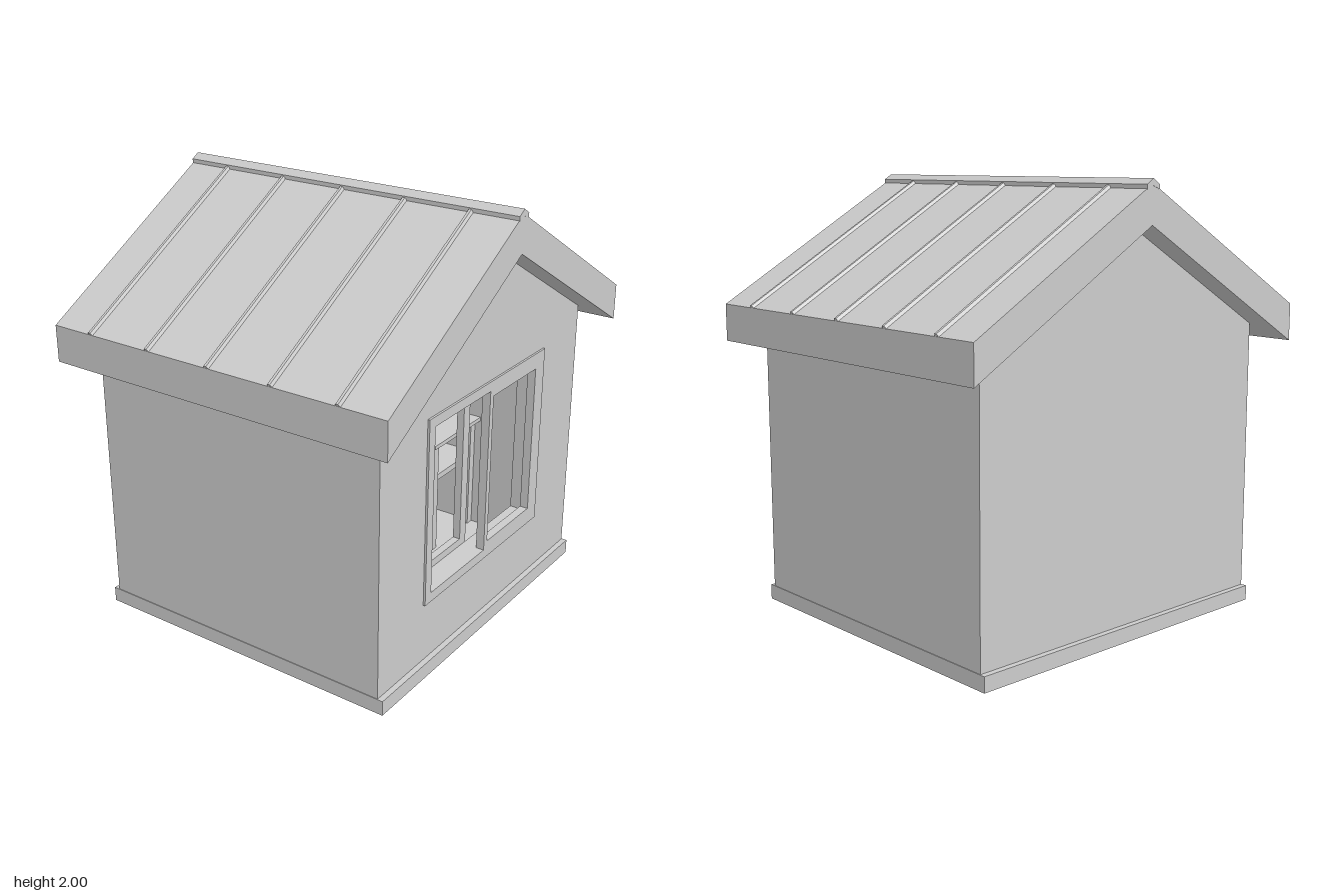
import * as THREE from 'three';

export function createModel() {
  const house = new THREE.Group();
  const paint = new THREE.MeshStandardMaterial({ color: 0xcccccc });
  paint.name = 'light grey';

  const add = (name, geometry, parent = house) => {
    const mesh = new THREE.Mesh(geometry, paint);
    mesh.name = name;
    parent.add(mesh);
    return mesh;
  };
  // Box given by its lower and upper corners
  const box = (name, x0, x1, y0, y1, z0, z1, parent) => {
    const g = new THREE.BoxGeometry(x1 - x0, y1 - y0, z1 - z0);
    g.translate((x0 + x1) / 2, (y0 + y1) / 2, (z0 + z1) / 2);
    return add(name, g, parent);
  };
  const outline = (points) => new THREE.Shape(points.map(([x, y]) => new THREE.Vector2(x, y)));
  const rect = (x0, x1, y0, y1) => [[x0, y0], [x1, y0], [x1, y1], [x0, y1]];
  // Flat plate with optional holes, between two depths
  const plate = (name, points, holes, z0, z1, parent) => {
    const shape = outline(points);
    for (const h of holes) shape.holes.push(outline(h));
    const g = new THREE.ExtrudeGeometry(shape, { depth: z1 - z0, bevelEnabled: false });
    g.translate(0, 0, z0);
    return add(name, g, parent);
  };

  // Floor slab
  box('base', -0.833, 0.833, 0, 0.07, -0.772, 0.772);

  // Gable walls, the front one with a window opening
  const gable = [[-0.8, 0.07], [0.8, 0.07], [0.8, 1.36], [0, 1.83], [-0.8, 1.36]];
  const opening = rect(-0.445, 0.445, 0.395, 1.175);
  plate('frontWall', gable, [opening], 0.645, 0.745);
  plate('backWall', gable, [], -0.745, -0.645);

  // Side walls and corner posts
  for (const s of [-1, 1]) {
    const [a, b] = s < 0 ? [-0.83, -0.73] : [0.73, 0.83];
    box('sideWall', a, b, 0.07, 1.35, -0.715, 0.715);
    for (const t of [-1, 1]) {
      const post = add('cornerPost', new THREE.BoxGeometry(0.03, 1.28, 0.03));
      post.position.set(s * 0.815, 0.71, t * 0.73);
    }
  }

  // Roof slab with plumb-cut eaves, and ridge cap
  plate('roof', [[-0.965, 1.25], [0, 1.81], [0.965, 1.25], [0.965, 1.42], [0, 1.98], [-0.965, 1.42]],
    [], -0.87, 0.87);
  plate('ridgeCap', [[-0.038, 1.955], [0, 1.97], [0.038, 1.955], [0.038, 1.976], [0, 2], [-0.038, 1.976]],
    [], -0.872, 0.872);

  // Standing seams on both slopes
  const angle = Math.atan2(0.56, 0.965);
  const seam = new THREE.ExtrudeGeometry(outline([[-0.015, -0.004], [0.015, -0.004], [0.006, 0.013], [-0.006, 0.013]]),
    { depth: 1.075, bevelEnabled: false });
  seam.rotateY(Math.PI / 2);
  seam.translate(0.04, 0, 0);
  seam.rotateZ(-angle);
  for (const s of [1, -1]) {
    const slope = new THREE.Group();
    slope.name = 'roofSeams';
    slope.position.y = 1.98;
    slope.rotation.y = s > 0 ? 0 : Math.PI;
    house.add(slope);
    for (let i = 0; i < 5; i++) {
      add('seam', seam, slope).position.z = s * (-0.657 + i * 0.325);
    }
  }

  // Sliding window: trim, flush right sash, left sash set back
  const windowGroup = new THREE.Group();
  windowGroup.name = 'window';
  house.add(windowGroup);
  plate('windowTrim', rect(-0.49, 0.49, 0.35, 1.22), [opening], 0.74, 0.755, windowGroup);
  plate('rightSash', rect(0, 0.445, 0.395, 1.175), [rect(0.028, 0.41, 0.43, 1.145)], 0.715, 0.755, windowGroup);
  plate('leftSash', rect(-0.445, 0.02, 0.395, 1.175), [rect(-0.41, -0.03, 0.43, 1.145)], 0.61, 0.645, windowGroup);

  // Chest of drawers along the left-hand wall as seen from outside
  const chest = new THREE.Group();
  chest.name = 'drawerChest';
  house.add(chest);
  box('chestBody', -0.73, -0.42, 0.07, 0.86, -0.6, 0.15, chest);
  for (let i = 0; i < 5; i++) {
    const y = 0.1 + i * 0.15;
    box('drawerFront', -0.42, -0.405, y, y + 0.135, -0.58, 0.13, chest);
    for (const z of [-0.4, -0.05]) {
      box('drawerHandle', -0.405, -0.385, y + 0.07, y + 0.09, z - 0.06, z + 0.06, chest);
    }
  }

  // Workbench along the opposite wall
  const bench = new THREE.Group();
  bench.name = 'bench';
  house.add(bench);
  box('benchTop', 0.305, 0.73, 0.65, 0.67, -0.6, 0.3, bench);
  box('benchShelf', 0.345, 0.73, 0.44, 0.47, -0.56, 0.26, bench);
  for (const x of [0.345, 0.69]) {
    for (const z of [-0.57, 0.23]) box('benchLeg', x, x + 0.04, 0.07, 0.65, z, z + 0.04, bench);
  }

  return house;
}
